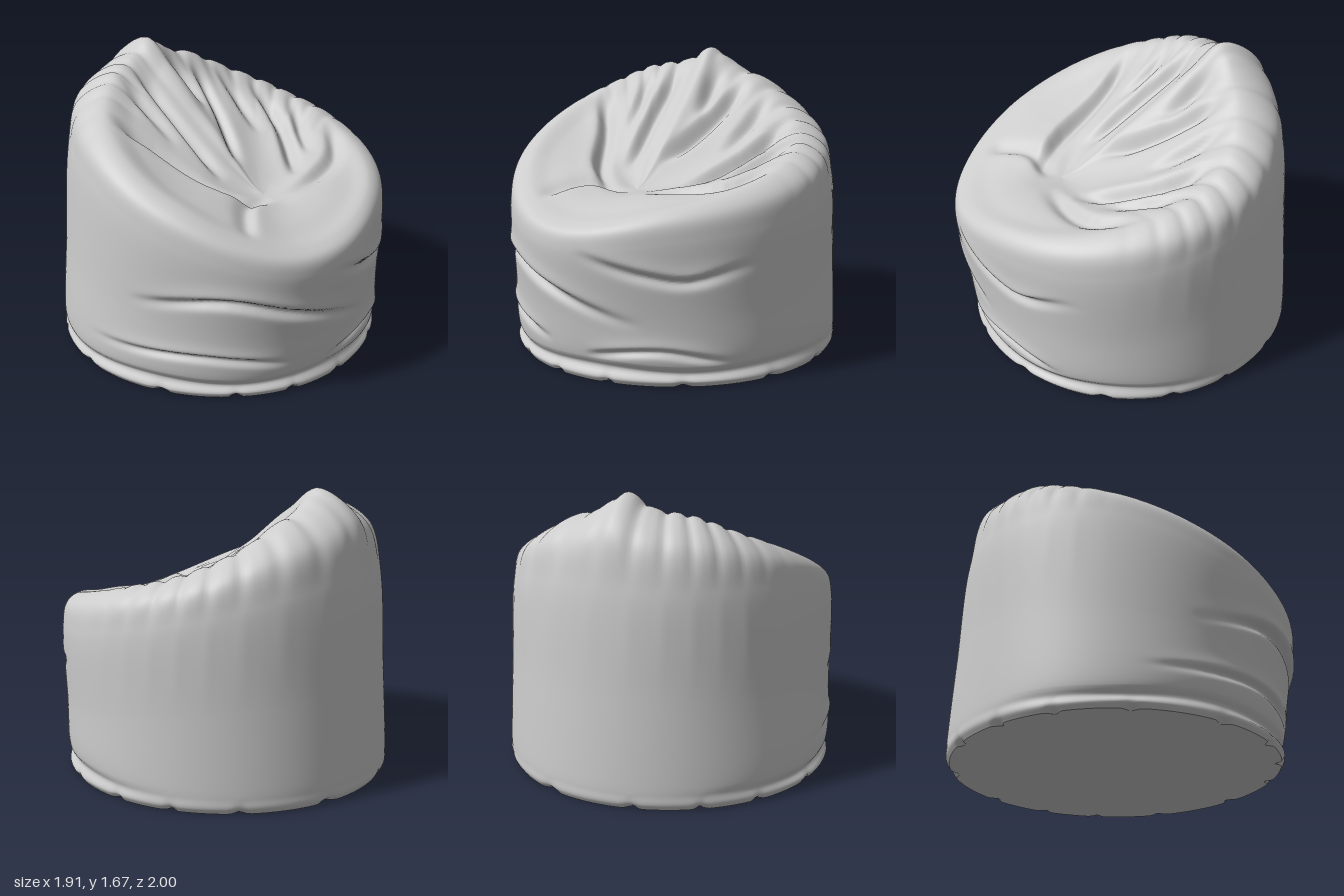
import * as THREE from 'three';

const SEGMENTS = 270;
// Rows between neighbouring section points, densest where the folds are
const STEPS = [5, 4, 4, 40, 40, 14, 12, 14, 16, 14, 14, 8, 4];
const ROWS = STEPS.flatMap((n, s) => Array.from({ length: n }, (_, k) => (s + k / n) / STEPS.length)).concat(1);
const CREST = 7 / STEPS.length;

// Values at 45 degree steps: front, front-left, left, back-left, back, back-right, right, front-right
const FOOT_R = [0.915, 0.91, 0.945, 0.98, 1.0, 0.98, 0.955, 0.92];
const WALL_R = [1.0, 0.945, 0.95, 0.94, 0.925, 0.92, 0.88, 0.93];
const WALL_Y = [0.76, 0.82, 0.9, 1.05, 1.2, 1.2, 1.16, 0.94];
const CREST_R = [0.91, 0.87, 0.8, 0.75, 0.64, 0.63, 0.71, 0.81];
const CREST_Y = [0.885, 0.98, 1.12, 1.29, 1.54, 1.57, 1.38, 1.13];
const SEAT = new THREE.Vector3(0.08, 0.965, 0.36);

// Smooth periodic interpolation around the bag
function around(values, a) {
  const n = values.length, u = (a / (2 * Math.PI)) * n, i = Math.floor(u), f = u - i;
  const [p, q, r, s] = [-1, 0, 1, 2].map(k => values[(i + k + n) % n]);
  return q + 0.5 * f * (r - p + f * (2 * p - 5 * q + 4 * r - s + f * (3 * (q - r) + s - p)));
}

const bell = (d, w) => Math.exp(-(d * d) / (w * w));
const { smoothstep } = THREE.MathUtils;

// Smooth fold lines, sampled once: d is the depth, w the width
const fold = (d, w, ...p) => ({
  d, w, line: new THREE.SplineCurve(p.map(([x, y]) => new THREE.Vector2(x, y))).getPoints(14),
});
// Wall folds run in x, y; seat folds in x, z
const WALL_FOLDS = [
  fold(0.04, 0.032, [-0.82, 0.55], [-0.42, 0.62], [-0.05, 0.53], [0.55, 0.33]),
  fold(0.025, 0.025, [-0.95, 0.24], [-0.5, 0.26], [0, 0.19]),
  fold(0.028, 0.03, [0.2, 0.75], [0.55, 0.63], [0.74, 0.6], [0.92, 0.7]),
  fold(0.025, 0.025, [0.2, 0.15], [0.6, 0.2], [0.85, 0.12]),
];
const SEAT_FOLDS = [
  fold(0.06, 0.04, [0.06, -0.7], [0.08, -0.25], [0.03, 0.15]),
  fold(0.05, 0.045, [-0.22, -0.8], [-0.1, -0.5], [0.02, -0.2]),
  fold(0.06, 0.045, [0.46, -0.62], [0.46, -0.15], [0.33, 0.3]),
  fold(0.055, 0.045, [-0.42, -0.6], [-0.24, -0.1], [-0.1, 0.25]),
  fold(0.05, 0.045, [-0.9, -0.2], [-0.5, 0.05], [-0.22, 0.36], [0.05, 0.5]),
  fold(0.04, 0.05, [0.85, -0.25], [0.62, 0.22], [0.2, 0.45]),
  fold(0.03, 0.05, [-0.28, 0.9], [-0.13, 0.55], [0.1, 0.42]),
  fold(0.035, 0.04, [0.18, -0.85], [0.27, -0.45], [0.3, -0.1]),
  fold(0.035, 0.04, [-0.62, -0.6], [-0.45, -0.25], [-0.3, 0.05]),
  fold(0.04, 0.04, [0.72, -0.5], [0.6, -0.2], [0.5, 0.15]),
];

// Fold depth at a point: a groove with a puffed ridge on one side, fading out at its ends
function foldDepth(folds, x, y) {
  let sum = 0;
  for (const { d, w, line } of folds) {
    let best = Infinity, side = 0, along = 0;
    for (let i = 0; i + 1 < line.length; i++) {
      const a = line[i], dx = line[i + 1].x - a.x, dy = line[i + 1].y - a.y;
      const t = THREE.MathUtils.clamp(((x - a.x) * dx + (y - a.y) * dy) / (dx * dx + dy * dy), 0, 1);
      const ex = x - a.x - t * dx, ey = y - a.y - t * dy, dist = Math.hypot(ex, ey);
      if (dist < best) {
        best = dist;
        side = (dx * ey - dy * ex) / Math.hypot(dx, dy);
        along = (i + t) / (line.length - 1);
      }
    }
    const fade = smoothstep(along, 0, 0.35) * smoothstep(1 - along, 0, 0.35);
    sum += d * fade * (0.7 * bell(best, w * 2.5) * smoothstep(side, 0, w * 1.5) - bell(best, w));
  }
  return sum;
}

// Pinches where the sole is stitched to the cover
const pinch = a => Math.pow(Math.abs(Math.cos(a * 7 + 0.6 * Math.sin(3 * a))), 40);
const footRadius = a => around(FOOT_R, a) * 0.98 - 0.04 * pinch(a);

// One vertical section of the cover, from the floor over the crest to the seat
function section(a) {
  const sx = Math.sin(a), cz = Math.cos(a);
  const at = (r, y) => new THREE.Vector3(r * sx, y, r * cz);
  const foot = around(FOOT_R, a), wr = around(WALL_R, a), wy = around(WALL_Y, a);
  const front = smoothstep(cz, -0.8, 0.3), back = smoothstep(-cz, -0.2, 0.6);
  // Narrow pleats between rounded puffs
  const gather = back * (0.5 - 1.6 * Math.abs(Math.cos(15 * a + 1.5 * Math.sin(3 * a))) ** 5
    + 0.3 * Math.sin(11 * a));
  const peak = bell(a - 3.49, 0.17);
  const cr = around(CREST_R, a), cy = around(CREST_Y, a) + 0.085 * peak;
  const ripple = 0.01 * Math.sin(5 * a) * front;
  const points = [
    at(footRadius(a), 0),
    at(foot - 0.008 * pinch(a), 0.035),
    at(foot - 0.028 * front, 0.08 + ripple),
    at(foot - 0.003 * front, 0.125 + ripple),
    at(foot * 0.6 + wr * 0.4, wy * 0.5),
    at(wr, wy),
    at(cr + (wr - cr) * 0.75 + 0.011 * gather, wy + (cy - wy) * 0.68),
    at(cr, cy + 0.011 * gather),
  ];
  // Backrest runs down almost straight, the sides dish in, the front cushion puffs up
  const dish = 0.08 + 0.25 * front, puff = 0.03 * smoothstep(cz, 0, 0.8);
  for (const t of [0.82, 0.62, 0.42, 0.22, 0.08, 0]) {
    const p = SEAT.clone().lerp(at(cr, cy), t);
    p.y = SEAT.y + (cy - SEAT.y) * t * t * (1 + dish) / (t + dish)
      + puff * Math.sin(Math.PI * t) ** 2 + 0.011 * gather * t ** 5;
    points.push(p);
  }
  return new THREE.CatmullRomCurve3(points);
}

// Joins closed rings of points into a smooth surface
function ringSurface(positions, rows) {
  const index = [];
  for (let j = 0; j < rows; j++) {
    for (let i = 0; i < SEGMENTS; i++) {
      const k = (i + 1) % SEGMENTS, a = j * SEGMENTS, b = a + SEGMENTS;
      index.push(a + i, a + k, b + k, a + i, b + k, b + i);
    }
  }
  const g = new THREE.BufferGeometry();
  g.setAttribute('position', new THREE.Float32BufferAttribute(positions, 3));
  g.setIndex(index);
  g.computeVertexNormals();
  return g;
}

function coverGeometry() {
  const positions = new Array(ROWS.length * SEGMENTS * 3);
  for (let i = 0; i < SEGMENTS; i++) {
    const a = (i / SEGMENTS) * 2 * Math.PI, curve = section(a);
    ROWS.forEach((u, j) => {
      const p = curve.getPoint(u);
      // Folds push the front wall in and out, and the seat up and down
      if (u < CREST && p.z > 0) {
        const d = foldDepth(WALL_FOLDS, p.x, p.y) * smoothstep(p.z, 0, 0.35) * smoothstep(p.y, 0.09, 0.16);
        p.x += d * Math.sin(a);
        p.z += d * Math.cos(a);
      }
      const inside = smoothstep(u, CREST, CREST + 0.1);
      if (inside > 0) p.y += inside * foldDepth(SEAT_FOLDS, p.x, p.z);
      p.toArray(positions, (j * SEGMENTS + i) * 3);
    });
  }
  return ringSurface(positions, ROWS.length - 1);
}

function soleGeometry() {
  const positions = [];
  for (const s of [0, 1]) {
    for (let i = 0; i < SEGMENTS; i++) {
      const a = (i / SEGMENTS) * 2 * Math.PI, r = s * footRadius(a);
      positions.push(r * Math.sin(a), 0, r * Math.cos(a));
    }
  }
  return ringSurface(positions, 1);
}

export function createModel() {
  const group = new THREE.Group();
  group.name = 'beanBagChair';
  const material = new THREE.MeshStandardMaterial({ color: 0xcccccc });
  const add = (name, geometry) => {
    const mesh = new THREE.Mesh(geometry, material);
    mesh.name = name;
    group.add(mesh);
  };
  add('fabricCover', coverGeometry());
  add('sole', soleGeometry());
  return group;
}
